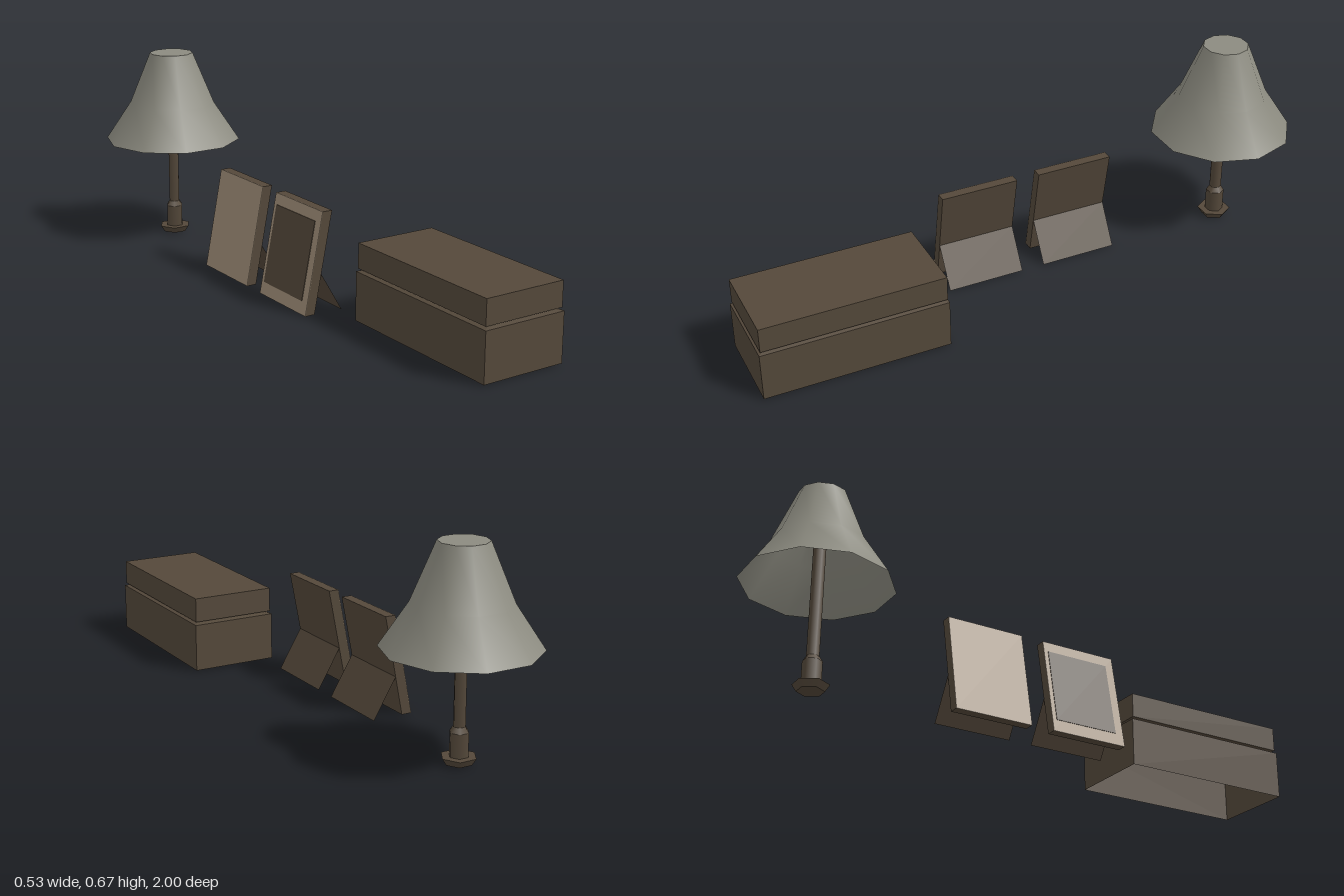
import * as THREE from 'three';

const wood = new THREE.MeshStandardMaterial({ color: 0x54483a, side: THREE.DoubleSide });
wood.name = 'dark wood';
const cloth = new THREE.MeshStandardMaterial({ color: 0x8c8b80, side: THREE.DoubleSide });
cloth.name = 'grey cloth';
const paper = new THREE.MeshStandardMaterial({ color: 0xa08e78 });
paper.name = 'tan paper';

function add(parent, name, geometry, material) {
  const mesh = new THREE.Mesh(geometry, material);
  mesh.name = name;
  parent.add(mesh);
  return mesh;
}

// Rectangular shell lofted through rings of [half width, half depth, y]
function rectLoft(rings) {
  const corners = ([w, d, y]) => [[w, y, d], [w, y, -d], [-w, y, -d], [-w, y, d]];
  const pos = [];
  for (let i = 0; i < rings.length - 1; i++) {
    const lo = corners(rings[i]), hi = corners(rings[i + 1]);
    for (let k = 0; k < 4; k++) {
      const n = (k + 1) % 4;
      for (const p of [lo[k], lo[n], hi[n], lo[k], hi[n], hi[k]]) pos.push(...p);
    }
  }
  const g = new THREE.BufferGeometry();
  g.setAttribute('position', new THREE.Float32BufferAttribute(pos, 3));
  g.computeVertexNormals();
  return g;
}

// Slab leaning towards +x; x0 and x1 are its edges at ground level
function leaningSlab(x0, x1, y0, y1, z0, z1) {
  const lean = 0.195;
  const shape = new THREE.Shape([
    new THREE.Vector2(x0 + lean * y0, y0), new THREE.Vector2(x1 + lean * y0, y0),
    new THREE.Vector2(x1 + lean * y1, y1), new THREE.Vector2(x0 + lean * y1, y1),
  ]);
  return new THREE.ExtrudeGeometry(shape, { depth: z1 - z0, bevelEnabled: false }).translate(0, 0, z0);
}

function createLamp() {
  const lamp = new THREE.Group();
  lamp.name = 'lamp';
  lamp.position.set(-0.026, 0, -0.77);

  // Ten-sided shade, open below
  const profile = [[0.242, 0.353], [0.152, 0.488], [0.077, 0.67]].map(p => new THREE.Vector2(...p));
  add(lamp, 'lampShade', new THREE.LatheGeometry(profile, 10, Math.PI / 2), cloth);
  const cap = add(lamp, 'shadeTop', new THREE.CircleGeometry(0.077, 10), cloth);
  cap.rotation.x = -Math.PI / 2;
  cap.position.y = 0.67;

  // Six-sided stand: [name, bottom radius, top radius, bottom y, top y]
  const stand = [
    ['foot', 0.043, 0.057, 0.002, 0.024],
    ['collar', 0.031, 0.031, 0.024, 0.099],
    ['collarTaper', 0.031, 0.02, 0.099, 0.116],
    ['stem', 0.02, 0.02, 0.116, 0.6],
  ];
  for (const [name, rb, rt, y0, y1] of stand) {
    const g = new THREE.CylinderGeometry(rt, rb, y1 - y0, 6, 1, false, Math.PI / 2);
    add(lamp, name, g.translate(0, (y0 + y1) / 2, 0), wood);
  }
  return lamp;
}

function createChest() {
  const chest = new THREE.Group();
  chest.name = 'chest';
  chest.position.set(0.119, 0, 0.692);
  // Body is open below, with a lip sloping in to the opening
  add(chest, 'chestBody', rectLoft([
    [0.147, 0.308, 0.003], [0.147, 0.308, 0.165], [0.115, 0.276, 0.174],
  ]), wood);
  add(chest, 'chestLid', rectLoft([
    [0.115, 0.276, 0.174], [0.143, 0.303, 0.175], [0.143, 0.303, 0.258], [0, 0, 0.258],
  ]), wood);
  return chest;
}

function createFrame(name, z0, z1, inset) {
  const frame = new THREE.Group();
  frame.name = name;
  add(frame, 'framePanel', leaningSlab(-0.139, -0.106, 0.003, 0.336, z0, z1), wood);
  add(frame, 'framePicture', leaningSlab(-0.141, -0.139, 0.003, 0.336, z0, z1), paper);
  if (inset) {
    add(frame, 'pictureCentre', leaningSlab(-0.143, -0.141, 0.045, 0.3, z0 + 0.015, z1 - 0.03), wood);
  }
  // Hinged prop behind the panel
  const flap = new THREE.PlaneGeometry(z1 - z0, Math.hypot(0.079, 0.133));
  flap.rotateX(-Math.atan2(0.079, 0.133)).rotateY(Math.PI / 2);
  add(frame, 'frameProp', flap.translate(-0.0405, 0.0665, (z0 + z1) / 2), wood);
  return frame;
}

export function createModel() {
  const model = new THREE.Group();
  model.name = 'bedsideSet';
  model.add(
    createLamp(),
    createChest(),
    createFrame('frontPictureFrame', 0.003, 0.27, true),
    createFrame('backPictureFrame', -0.344, -0.077, false),
  );
  return model;
}
